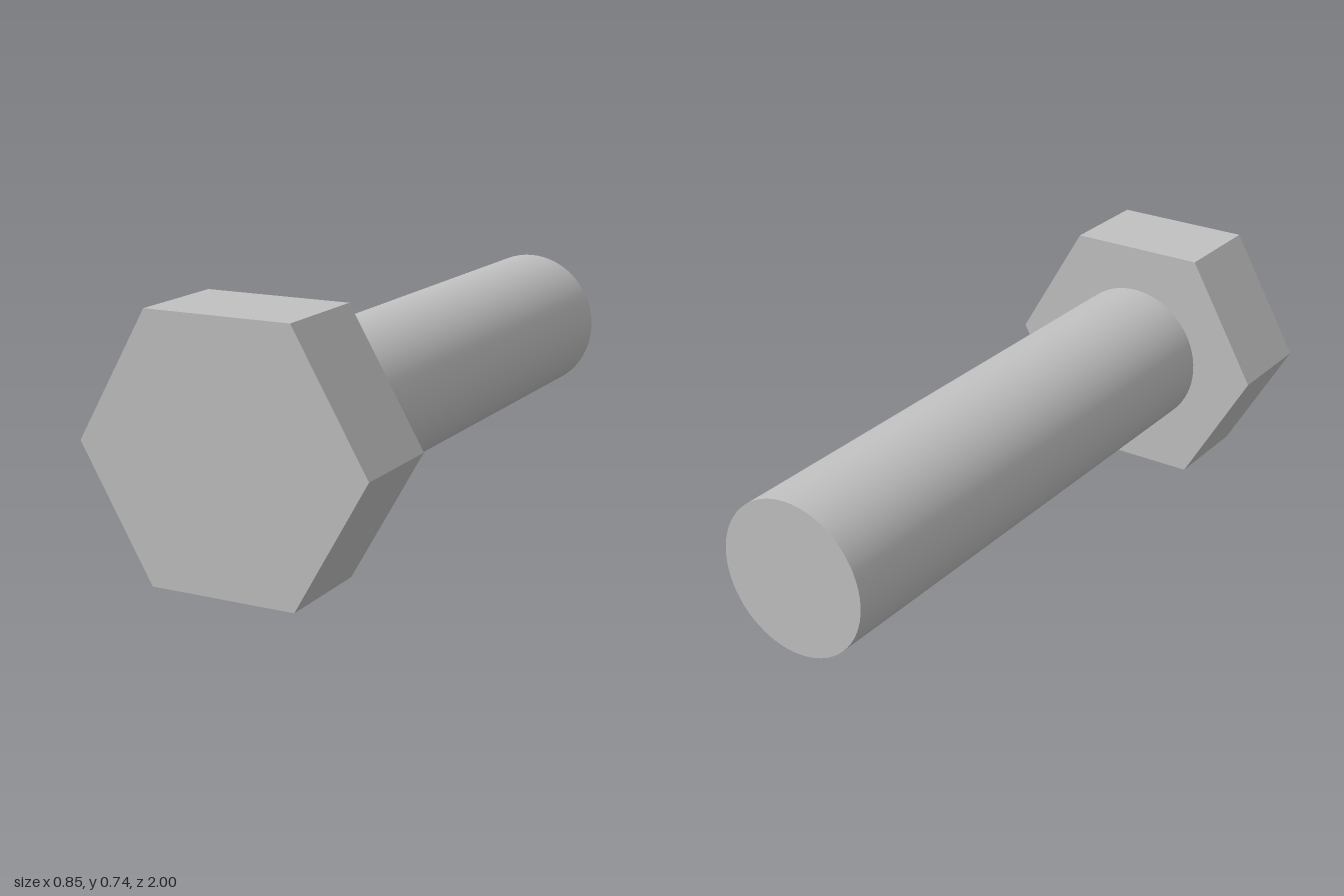
import * as THREE from 'three';

const HEAD_RADIUS = 0.425;
const AXIS_Y = HEAD_RADIUS * Math.cos(Math.PI / 6); // head rests on one flat
const SHANK_RADIUS = 0.227;
const HEAD_BACK = 0.703;

// Prism or cylinder lying along z between two depths
function rod(name, radius, sides, zBack, zFront, material, turn = 0) {
  let geometry = new THREE.CylinderGeometry(radius, radius, zFront - zBack, sides, 1, false, turn);
  geometry.rotateX(Math.PI / 2);
  if (sides <= 6) {
    geometry = geometry.toNonIndexed(); // crisp faces on the hexagon
    geometry.computeVertexNormals();
  }
  const mesh = new THREE.Mesh(geometry, material);
  mesh.name = name;
  mesh.position.set(0, AXIS_Y, (zBack + zFront) / 2);
  return mesh;
}

export function createModel() {
  const steel = new THREE.MeshStandardMaterial({ color: 0xc0c0c0 });
  steel.name = 'steel';

  const bolt = new THREE.Group();
  bolt.name = 'hexBolt';
  // Hexagonal head with corners pointing left and right
  bolt.add(rod('head', HEAD_RADIUS, 6, HEAD_BACK, 1, steel, Math.PI / 6));
  // Smooth round shank
  bolt.add(rod('shank', SHANK_RADIUS, 64, -1, HEAD_BACK, steel));
  return bolt;
}
